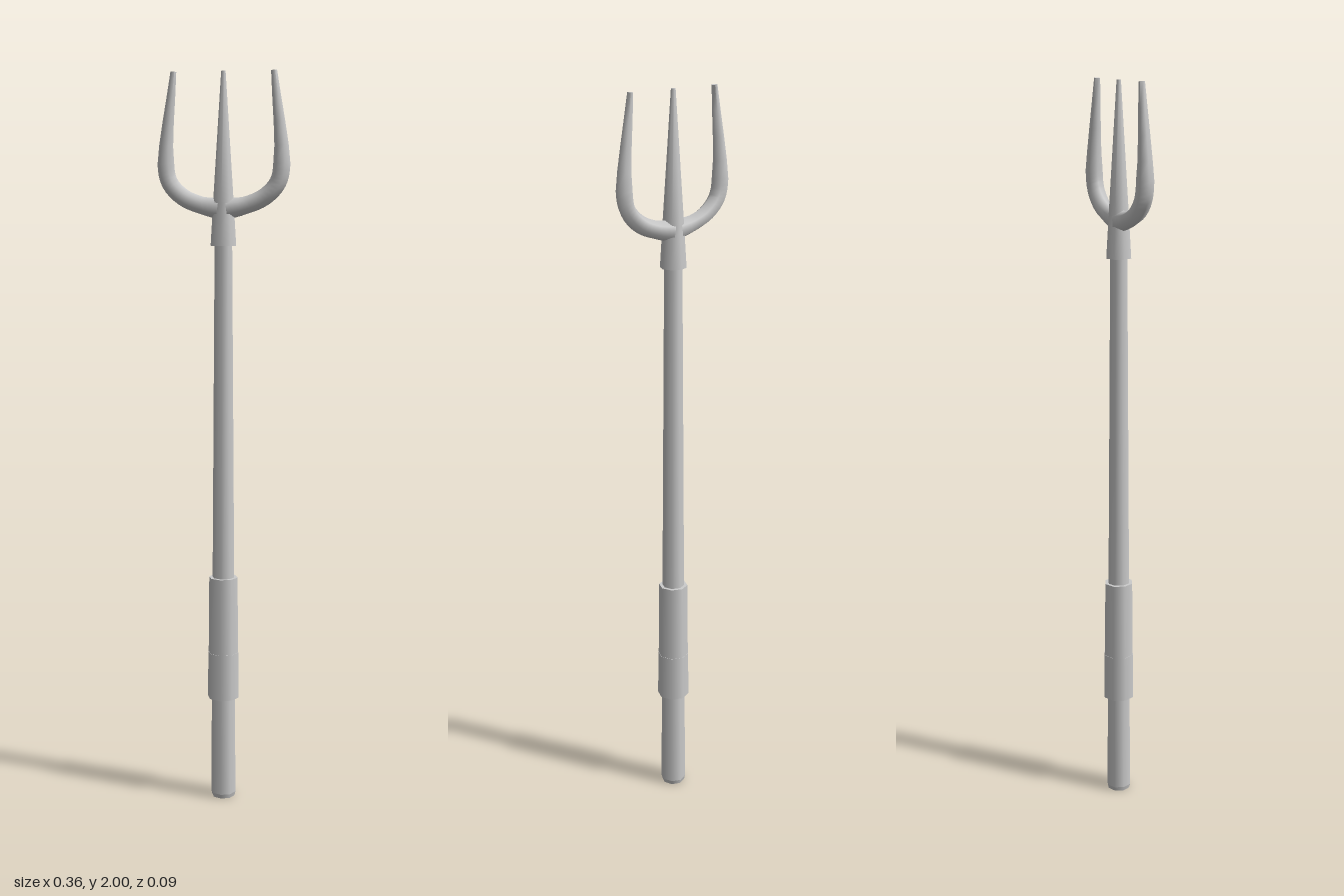
import * as THREE from 'three';
import { toCreasedNormals } from 'three/addons/utils/BufferGeometryUtils.js';

const material = new THREE.MeshStandardMaterial({ color: 0xcccccc });

// Eight-sided tapered round section between two heights
function section(name, y0, y1, r0, r1) {
  const mesh = new THREE.Mesh(new THREE.CylinderGeometry(r1, r0, y1 - y0, 8), material);
  mesh.position.y = (y0 + y1) / 2;
  mesh.name = name;
  return mesh;
}

// Six-sided tapered tube through stations [x, y, radius] in the xy plane
function prong(name, stations, side) {
  const sides = 6, steps = 20;
  const path = new THREE.CatmullRomCurve3(
    stations.map(([x, y]) => new THREE.Vector3(x * side, y, 0)), false, 'centripetal');
  const positions = [], indices = [];
  for (let i = 0; i <= steps; i++) {
    const t = i / steps, s = t * (stations.length - 1);
    const k = Math.min(Math.floor(s), stations.length - 2);
    const r = THREE.MathUtils.lerp(stations[k][2], stations[k + 1][2], s - k);
    const p = path.getPoint(t), d = path.getTangent(t);
    for (let j = 0; j < sides; j++) {
      const a = (j / sides) * Math.PI * 2, c = Math.cos(a) * r;
      positions.push(p.x + d.y * c, p.y - d.x * c, Math.sin(a) * r);
    }
  }
  for (let i = 0; i < steps; i++) {
    for (let j = 0; j < sides; j++) {
      const a = i * sides + j, b = i * sides + (j + 1) % sides;
      indices.push(a, a + sides, b, b, a + sides, b + sides);
    }
  }
  // End caps
  const end = steps * sides;
  for (let j = 1; j < sides - 1; j++) {
    indices.push(0, j, j + 1, end, end + j + 1, end + j);
  }
  const geometry = new THREE.BufferGeometry();
  geometry.setAttribute('position', new THREE.Float32BufferAttribute(positions, 3));
  geometry.setIndex(indices);
  const mesh = new THREE.Mesh(toCreasedNormals(geometry, 1.15), material);
  mesh.name = name;
  return mesh;
}

export function createModel() {
  const group = new THREE.Group();
  group.name = 'trident';

  // Handle
  group.add(
    section('buttCap', 0, 0.012, 0.032, 0.035),
    section('shaft', 0.012, 1.56, 0.035, 0.024),
    section('gripLower', 0.29, 0.42, 0.044, 0.043),
    section('gripUpper', 0.42, 0.635, 0.042, 0.04),
  );

  // Head
  group.add(
    section('socket', 1.545, 1.66, 0.035, 0.028),
    section('centerProng', 1.66, 2, 0.028, 0.006),
  );
  const stations = [
    [0, 1.641, 0.029], [0.06, 1.652, 0.023], [0.11, 1.673, 0.023],
    [0.146, 1.71, 0.023], [0.157, 1.76, 0.023], [0.135, 2, 0.008],
  ];
  group.add(prong('leftProng', stations, 1), prong('rightProng', stations, -1));
  return group;
}
